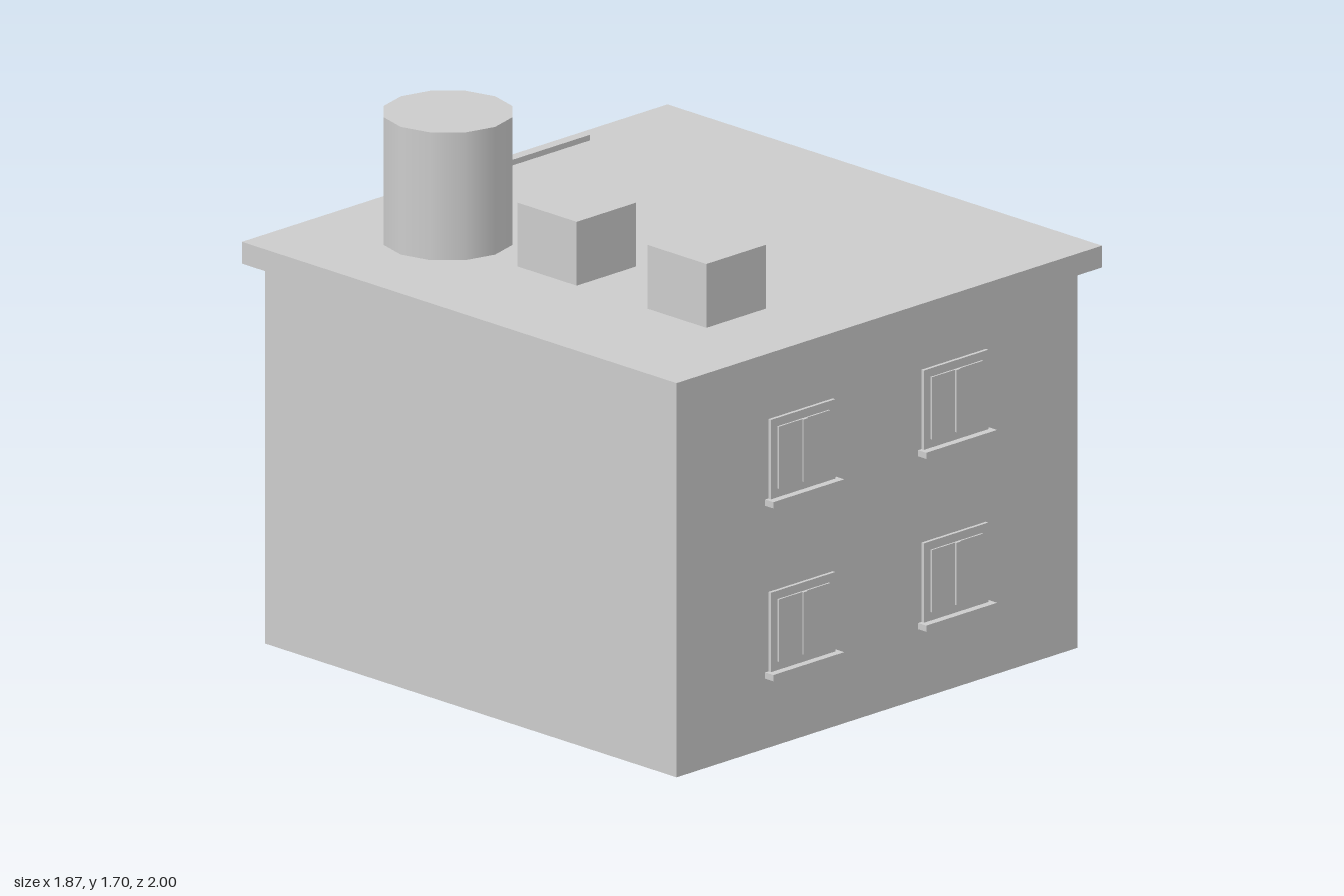
import * as THREE from 'three';

const concrete = new THREE.MeshStandardMaterial({ color: 0xcccccc });
concrete.name = 'light grey';

// Box given by its minimum and maximum on each axis
function box(name, x0, x1, y0, y1, z0, z1) {
  const mesh = new THREE.Mesh(new THREE.BoxGeometry(x1 - x0, y1 - y0, z1 - z0), concrete);
  mesh.position.set((x0 + x1) / 2, (y0 + y1) / 2, (z0 + z1) / 2);
  mesh.name = name;
  return mesh;
}

// Window facing +z, with its origin on the wall at the bottom of the frame
function makeWindow() {
  const g = new THREE.Group();
  g.name = 'window';
  g.add(
    box('windowFrame', -0.138, 0.138, 0, 0.255, -0.01, 0.011),
    box('windowPane', -0.11, 0.11, 0.028, 0.228, 0, 0.017),
    box('windowMullion', -0.01, 0.01, 0.028, 0.228, 0, 0.022),
    box('windowSill', -0.152, 0.152, -0.02, 0, -0.01, 0.035)
  );
  return g;
}

export function createModel() {
  const model = new THREE.Group();
  model.name = 'building';

  // Main body and overhanging roof slab
  model.add(
    box('walls', -0.885, 0.885, 0, 1.22, -0.77, 0.95),
    box('roof', -0.935, 0.935, 1.22, 1.29, -0.825, 1.0)
  );

  // Rooftop tank with outlet pipe
  const tank = new THREE.Mesh(new THREE.CylinderGeometry(0.203, 0.203, 0.41, 12), concrete);
  tank.position.set(-0.51, 1.495, 0.54);
  tank.name = 'waterTank';
  model.add(tank, box('tankPipe', -0.52, -0.5, 1.465, 1.483, -0.06, 0.4));

  // Rooftop units
  for (const x of [-0.053, 0.505]) {
    model.add(box('roofUnit', x - 0.127, x + 0.127, 1.29, 1.495, 0.315, 0.57));
  }

  // Windows on both storeys: two per side wall, three or two at the back
  for (const y of [0.245, 0.8]) {
    for (const side of [-1, 1]) {
      for (const z of [0.418, -0.238]) {
        const w = makeWindow();
        w.position.set(side * 0.885, y, z);
        w.rotation.y = side * Math.PI / 2;
        model.add(w);
      }
    }
    for (const x of y > 0.5 ? [-0.52, 0, 0.52] : [-0.52, 0.52]) {
      const w = makeWindow();
      w.position.set(x, y, -0.77);
      w.rotation.y = Math.PI;
      model.add(w);
    }
  }

  // Back entrance and canopy
  model.add(
    box('doorFrame', -0.2, 0.2, 0.05, 0.63, -0.781, -0.76),
    box('door', -0.18, 0.18, 0.05, 0.605, -0.787, -0.76),
    box('canopy', -0.252, 0.252, 0.67, 0.703, -1.0, -0.76)
  );
  return model;
}
